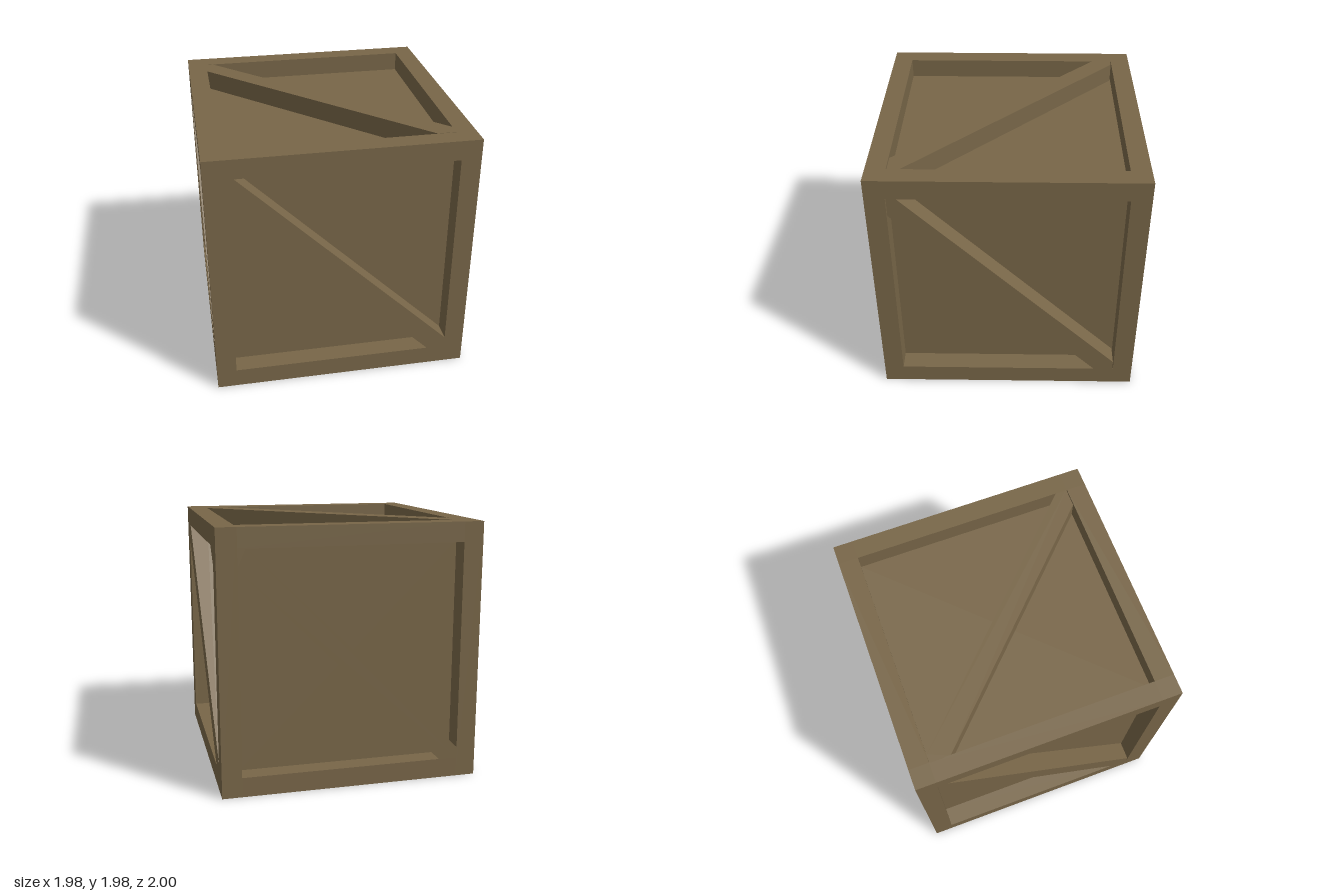
import * as THREE from 'three';

// Wooden crate: inner box, twelve edge beams and one diagonal brace per face
export function createModel() {
  const crate = new THREE.Group();
  crate.name = 'crate';
  const wood = new THREE.MeshStandardMaterial({ color: 0x786648 });
  wood.name = 'brown wood';

  const HX = 0.99, HY = 0.99, HZ = 1.0; // half sizes
  const B = 0.15;                       // beam thickness

  const body = new THREE.Group();
  body.position.y = HY;
  crate.add(body);

  function addBox(name, sx, sy, sz, x, y, z) {
    const mesh = new THREE.Mesh(new THREE.BoxGeometry(sx, sy, sz), wood);
    mesh.name = name;
    mesh.position.set(x, y, z);
    body.add(mesh);
  }

  // Recessed panels on all six sides
  addBox('innerPanels', 2 * (HX - B), 2 * (HY - B), 2 * (HZ - B), 0, 0, 0);

  // Edge beams: posts run full height, rails fit between them
  for (const a of [-1, 1]) {
    for (const b of [-1, 1]) {
      addBox('cornerPost', B, 2 * HY, B, a * (HX - B / 2), 0, b * (HZ - B / 2));
      addBox('crossRail', 2 * (HX - B), B, B, 0, a * (HY - B / 2), b * (HZ - B / 2));
      addBox('sideRail', B, B, 2 * (HZ - B), a * (HX - B / 2), b * (HY - B / 2), 0);
    }
  }

  // Diagonal brace, cut to the corners of the frame opening
  const brace = new THREE.Shape([
    [-0.78, 0.845], [-0.845, 0.845], [-0.845, 0.695],
    [0.70, -0.845], [0.845, -0.845], [0.845, -0.76],
  ].map(([x, y]) => new THREE.Vector2(x, y)));
  const braceGeometry = new THREE.ExtrudeGeometry(brace, { depth: B, bevelEnabled: false });

  const sides = [
    ['front', 0, 0, HZ], ['right', 0, Math.PI / 2, HX],
    ['back', 0, Math.PI, HZ], ['left', 0, -Math.PI / 2, HX],
    ['top', -Math.PI / 2, 0, HY], ['bottom', Math.PI / 2, 0, HY],
  ];
  for (const [name, rx, ry, reach] of sides) {
    const mesh = new THREE.Mesh(braceGeometry, wood);
    mesh.name = name + 'Brace';
    mesh.rotation.set(rx, ry, 0);
    mesh.translateZ(reach - B);
    body.add(mesh);
  }
  return crate;
}
